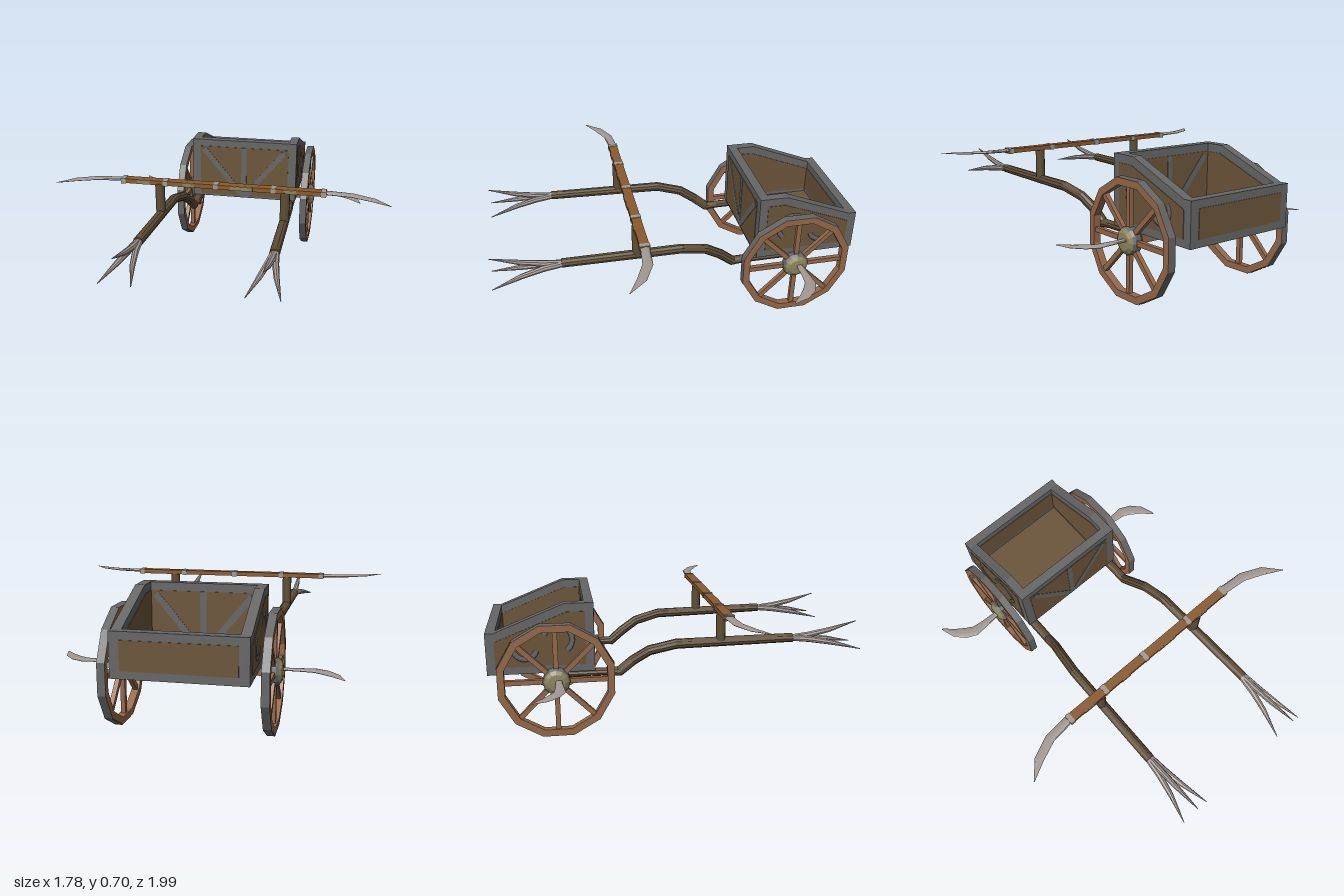
import * as THREE from 'three';

const mat = (name, color, side = THREE.FrontSide) => {
  const m = new THREE.MeshStandardMaterial({ color, side });
  m.name = name;
  return m;
};

export function createModel() {
  const plank = mat('plank brown', 0x6b553a);
  const iron = mat('iron grey', 0x666666);
  const wheelWood = mat('wheel wood', 0x94684a);
  const shaftWood = mat('shaft wood', 0x5f4d36);
  const bone = mat('horn', 0xa29893);
  const khaki = mat('khaki', 0x8c855c);
  const yokeWood = mat('yoke wood', 0x8a5a2e);

  const root = new THREE.Group();
  root.name = 'cart';

  const add = (parent, name, geo, material, x = 0, y = 0, z = 0) => {
    const m = new THREE.Mesh(geo, material);
    m.name = name;
    m.position.set(x, y, z);
    parent.add(m);
    return m;
  };
  const box = (parent, name, material, w, h, d, x, y, z) =>
    add(parent, name, new THREE.BoxGeometry(w, h, d), material, x, y, z);
  const flat = (geo) => {
    const g = geo.index ? geo.toNonIndexed() : geo;
    g.computeVertexNormals();
    return g;
  };

  // Elliptical sections swept along a path; station = [x, y, z, half width, half height]
  const loft = (stations, sides = 10) => {
    const pts = stations.map((s) => new THREE.Vector3(s[0], s[1], s[2]));
    const rings = [];
    const last = pts.length - 1;
    pts.forEach((p, i) => {
      const t = pts[Math.min(i + 1, last)].clone().sub(pts[Math.max(i - 1, 0)]).normalize();
      const s = t.clone().cross(new THREE.Vector3(0, 1, 0)).normalize();
      const u = s.clone().cross(t);
      const ring = (k) => Array.from({ length: sides }, (_, j) => {
        const a = (j / sides) * Math.PI * 2;
        return p.clone().addScaledVector(s, Math.cos(a) * stations[i][3] * k)
          .addScaledVector(u, Math.sin(a) * stations[i][4] * k);
      });
      if (i === 0) rings.push(ring(0));
      rings.push(ring(1));
      if (i === last) rings.push(ring(0));
    });
    const index = [];
    for (let i = 0; i < rings.length - 1; i++) {
      for (let j = 0; j < sides; j++) {
        const k = (j + 1) % sides;
        const a = i * sides + j, b = i * sides + k;
        index.push(a, a + sides, b, b, a + sides, b + sides);
      }
    }
    const g = new THREE.BufferGeometry().setFromPoints(rings.flat());
    g.setIndex(index);
    return flat(g);
  };

  // Side profile given as [-z, y], extruded across x and centred
  const sideSlab = (outline, thick) => {
    const shape = new THREE.Shape(outline.map(([a, b]) => new THREE.Vector2(a, b)));
    return new THREE.ExtrudeGeometry(shape, { depth: thick, bevelEnabled: false })
      .translate(0, 0, -thick / 2).rotateY(Math.PI / 2);
  };

  // Cart body: iron-framed walls with plank panels
  const body = new THREE.Group();
  body.name = 'body';
  root.add(body);
  const wall = [[0.44, 0.33], [1, 0.33], [1, 0.555], [0.955, 0.555], [0.59, 0.7], [0.44, 0.7]];
  const panel = [[0.485, 0.37], [0.955, 0.37], [0.955, 0.508], [0.58, 0.656], [0.485, 0.656]];
  for (const s of [-1, 1]) {
    add(body, 'sideWall', sideSlab(wall, 0.05), iron, s * 0.302);
    add(body, 'sidePanel', sideSlab(panel, 0.056), plank, s * 0.302);
    // curved iron straps on the outside
    for (const [y, z, r, a] of [[0.51, -0.63, 0.075, 0.4], [0.47, -0.8, 0.06, 3.4]]) {
      const arc = new THREE.TorusGeometry(r, 0.014, 6, 14, 3.6);
      arc.rotateZ(a).scale(1, 1, 0.2).rotateY(Math.PI / 2);
      add(body, 'sideStrap', arc, iron, s * 0.331, y, z);
    }
  }
  box(body, 'frontWall', iron, 0.56, 0.37, 0.05, 0, 0.515, -0.465);
  box(body, 'frontPanel', plank, 0.553, 0.315, 0.056, 0, 0.5, -0.465);
  box(body, 'backWall', iron, 0.56, 0.225, 0.05, 0, 0.4425, -0.975);
  box(body, 'backPanel', plank, 0.553, 0.145, 0.056, 0, 0.442, -0.975);
  box(body, 'floor', plank, 0.56, 0.02, 0.47, 0, 0.341, -0.72);
  box(body, 'underside', plank, 0.56, 0.006, 0.47, 0, 0.329, -0.72);
  box(body, 'centreBrace', iron, 0.032, 0.315, 0.061, 0, 0.5, -0.465);
  for (const s of [-1, 1]) {
    const brace = box(body, 'diagonalBrace', iron, 0.034, 0.375, 0.06, s * 0.132, 0.495, -0.465);
    brace.rotation.z = -s * 0.69;
  }

  // Axle
  box(root, 'axle', wheelWood, 0.74, 0.045, 0.045, 0, 0.307, -0.645);

  // Wheels: twelve-sided rim, eight spokes, hub and curved hub blade
  const polygon = (r) => Array.from({ length: 12 }, (_, i) => {
    const a = ((i + 0.5) * Math.PI) / 6;
    return new THREE.Vector2(Math.cos(a) * r, Math.sin(a) * r);
  });
  const lathe = (pts) => flat(new THREE.LatheGeometry(
    pts.map(([r, h]) => new THREE.Vector2(r, h)), 12).rotateZ(-Math.PI / 2));
  for (const s of [1, -1]) {
    const wheel = new THREE.Group();
    wheel.name = s > 0 ? 'leftWheel' : 'rightWheel';
    wheel.position.set(s * 0.388, 0.305, -0.645);
    if (s < 0) wheel.rotation.y = Math.PI;
    root.add(wheel);
    const rim = new THREE.Shape(polygon(0.312));
    rim.holes.push(new THREE.Path(polygon(0.274)));
    add(wheel, 'rim', new THREE.ExtrudeGeometry(rim, { depth: 0.04, bevelEnabled: false })
      .translate(0, 0, -0.02).rotateY(Math.PI / 2), wheelWood);
    const tread = new THREE.CylinderGeometry(0.3145, 0.3145, 0.041, 12, 1, true, Math.PI / 12);
    add(wheel, 'tread', flat(tread.rotateZ(Math.PI / 2)), iron);
    for (let i = 0; i < 8; i++) {
      const a = (i * Math.PI) / 4;
      const spoke = box(wheel, 'spoke', wheelWood, 0.024, 0.24, 0.026,
        0, Math.cos(a) * 0.155, Math.sin(a) * 0.155);
      spoke.rotation.x = a;
    }
    add(wheel, 'hub', lathe([[0, -0.043], [0.052, -0.04], [0.072, -0.016], [0.072, 0.016], [0.064, 0.028]]), iron);
    add(wheel, 'hubCap', lathe([[0.064, 0.028], [0.045, 0.041], [0, 0.045]]), khaki);
    add(wheel, 'hubBlade', loft([
      [0.03, 0.01, -0.012, 0.016, 0.007], [0.13, 0.01, -0.015, 0.022, 0.007],
      [0.2, 0.01, -0.015, 0.03, 0.007], [0.25, 0.01, 0.01, 0.032, 0.007],
      [0.3, 0.01, 0.055, 0.025, 0.005], [0.342, 0.01, 0.122, 0.004, 0.001]]), bone);
  }

  // Draught shafts, claws, yoke posts and yoke horns, mirrored
  for (const s of [-1, 1]) {
    const side = new THREE.Group();
    side.name = s > 0 ? 'leftShaft' : 'rightShaft';
    root.add(side);
    const r = 0.027;
    add(side, 'shaft', loft([
      [s * 0.295, 0.312, -0.66, 0.027, 0.02], [s * 0.295, 0.312, -0.37, 0.027, 0.02],
      [s * 0.295, 0.308, -0.31, r, r], [s * 0.302, 0.37, -0.235, r, r],
      [s * 0.318, 0.425, -0.15, r, r], [s * 0.336, 0.46, -0.01, r, r],
      [s * 0.347, 0.47, 0.63, r, 0.024]]), shaftWood);
    // one claw rising in the middle, two dipping outward
    for (const [dx, dy] of [[0, 0.083], [-0.077, -0.06], [0.077, -0.06]]) {
      const station = (t, bend, w) =>
        [s * 0.347 + dx * bend + Math.sign(dx) * 0.008, 0.47 + dy * bend, 0.61 + 0.38 * t, w, w];
      add(side, 'claw', loft([station(0, 0, 0.015), station(0.3, 0.14, 0.017),
        station(0.6, 0.42, 0.014), station(1, 0.95, 0.002)], 8), bone);
    }
    add(side, 'yokePost', new THREE.CylinderGeometry(0.026, 0.026, 0.17, 10), shaftWood, s * 0.343, 0.558, 0.232);
    add(side, 'yokeHorn', loft([
      [s * 0.55, 0.65, 0.223, 0.024, 0.009], [s * 0.69, 0.65, 0.236, 0.026, 0.007],
      [s * 0.8, 0.65, 0.284, 0.024, 0.005], [s * 0.89, 0.65, 0.355, 0.002, 0.001]]), bone);
  }

  // Yoke bar with metal bands and khaki wrappings
  box(root, 'yoke', yokeWood, 1.12, 0.024, 0.05, 0, 0.648, 0.225);
  for (const x of [-0.545, -0.31, -0.03, 0.28, 0.545]) {
    box(root, 'yokeBand', bone, 0.026, 0.029, 0.055, x, 0.648, 0.225);
  }
  for (const [x, w] of [[-0.43, 0.07], [-0.18, 0.06], [0.11, 0.12], [0.37, 0.07]]) {
    box(root, 'yokeWrap', khaki, w, 0.022, 0.005, x, 0.648, 0.251);
  }
  return root;
}
